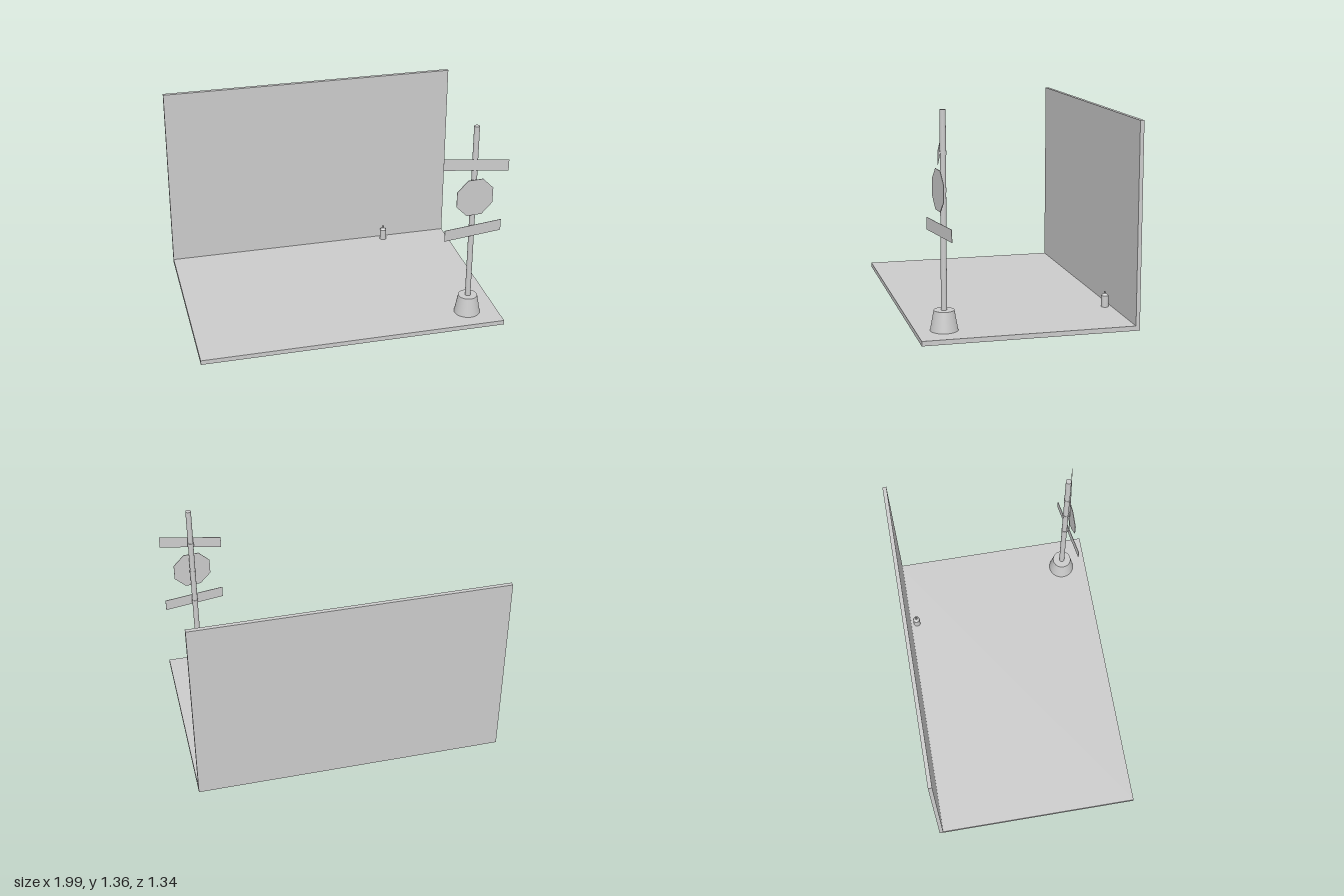
import * as THREE from 'three';

const grey = new THREE.MeshStandardMaterial({ color: 0xcccccc });
const flat = new THREE.MeshStandardMaterial({ color: 0xcccccc, flatShading: true });

function add(parent, name, geometry, x, y, z, material = grey) {
  const mesh = new THREE.Mesh(geometry, material);
  mesh.name = name;
  mesh.position.set(x, y, z);
  parent.add(mesh);
  return mesh;
}

export function createModel() {
  const model = new THREE.Group();
  model.name = 'streetCorner';

  // Ground slab and back wall
  add(model, 'ground', new THREE.BoxGeometry(1.99, 0.03, 1.34), -0.005, 0.015, 0);
  add(model, 'wall', new THREE.BoxGeometry(1.99, 1.25, 0.025), -0.005, 0.655, -0.6575);

  // Sign post: weighted foot and pole
  const post = new THREE.Group();
  post.name = 'signPost';
  post.position.set(0.793, 0, 0.497);
  model.add(post);
  add(post, 'foot', new THREE.CylinderGeometry(0.062, 0.085, 0.125, 40), 0, 0.0925, 0);
  add(post, 'pole', new THREE.CylinderGeometry(0.018, 0.018, 1.2, 32), 0, 0.755, 0);

  // Flat signs, each turned a little and clamped to the pole
  const plank = new THREE.BoxGeometry(0.405, 0.076, 0.003);
  const octagon = new THREE.CylinderGeometry(0.1325, 0.1325, 0.004, 8);
  octagon.rotateY(Math.PI / 8).rotateX(Math.PI / 2);
  const signs = [
    ['upperSign', plank, 1.101, 0.024, -0.23],
    ['octagonSign', octagon, 0.88, 0.031, 0.08],
    ['lowerSign', plank, 0.644, 0.026, 0.175],
  ];
  for (const [name, geometry, y, z, turn] of signs) {
    add(post, name, geometry, 0, y, z, flat).rotation.y = turn;
    add(post, 'clamp', new THREE.CylinderGeometry(0.0205, 0.0205, 0.024, 32), 0, y, 0);
    add(post, 'bracket', new THREE.BoxGeometry(0.024, 0.02, z - 0.01), 0, y, (z + 0.01) / 2).rotation.y = turn;
  }

  // Small can by the wall: body, shoulder and nozzle
  const can = new THREE.Group();
  can.name = 'sprayCan';
  can.position.set(0.528, 0.03, -0.603);
  model.add(can);
  add(can, 'canBody', new THREE.CylinderGeometry(0.023, 0.023, 0.074, 32), 0, 0.037, 0);
  add(can, 'canShoulder', new THREE.CylinderGeometry(0.008, 0.022, 0.014, 32), 0, 0.081, 0);
  add(can, 'nozzle', new THREE.CylinderGeometry(0.005, 0.006, 0.014, 20), 0, 0.094, 0);

  return model;
}
